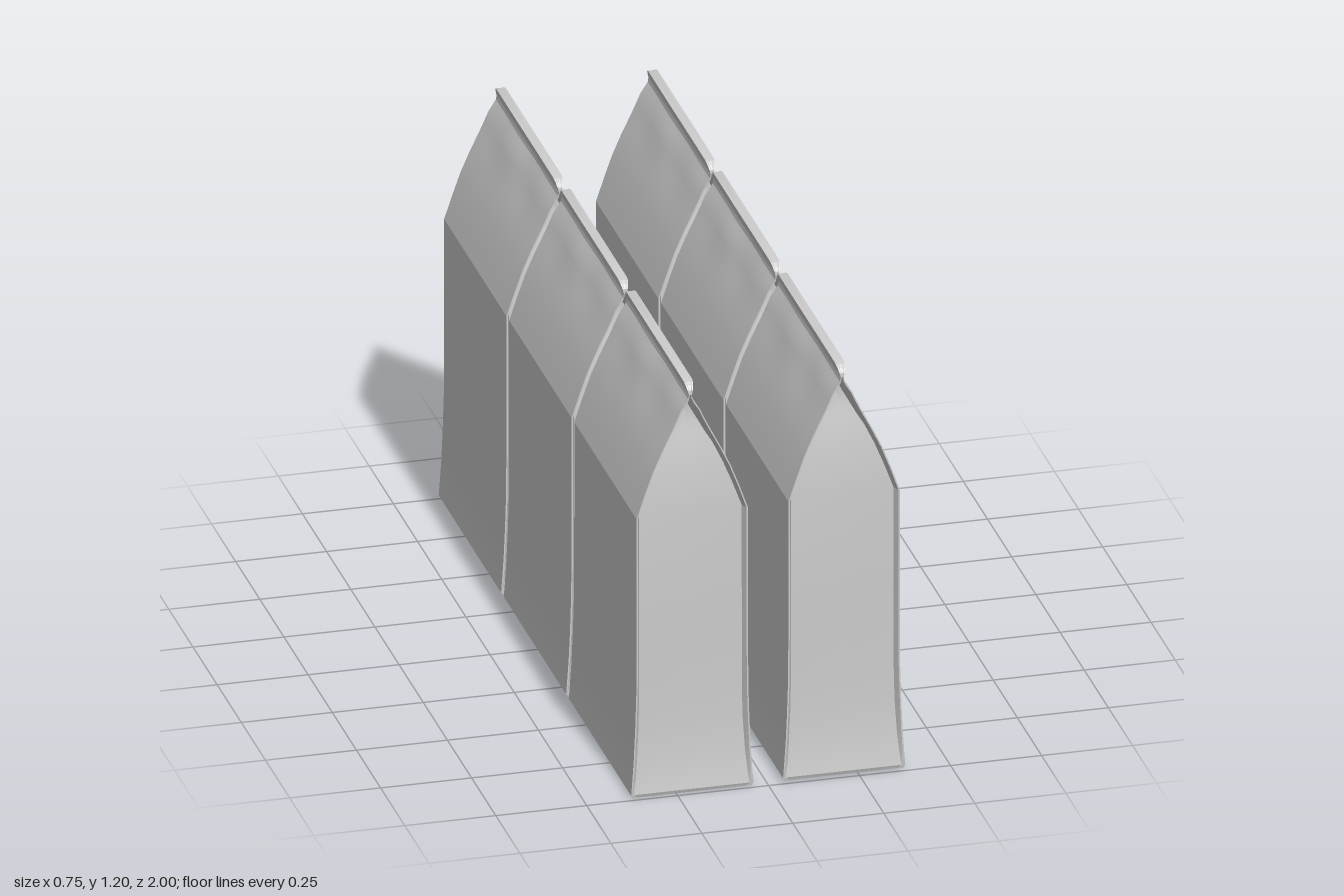
import * as THREE from 'three';
import { toCreasedNormals } from 'three/addons/utils/BufferGeometryUtils.js';

// Bag levels: height, panel half width, gusset half width, gusset recess, half length
const D = 0.3225;
const LEVELS = [
  [0.000, 0.162, 0.152, 0.003, D - 0.003],
  [0.010, 0.168, 0.158, 0.002, D],
  [0.050, 0.165, 0.153, 0.008, D],
  [0.110, 0.161, 0.148, 0.014, D],
  [0.200, 0.157, 0.143, 0.018, D],
  [0.300, 0.154, 0.141, 0.019, D],
  [0.550, 0.153, 0.141, 0.019, D],
  [0.815, 0.153, 0.141, 0.020, D],
  [0.880, 0.131, 0.118, 0.024, D],
  [0.945, 0.107, 0.093, 0.030, D],
  [1.000, 0.082, 0.068, 0.038, D],
  [1.030, 0.067, 0.050, 0.044, D],
  [1.060, 0.052, 0.034, 0.050, D],
  [1.090, 0.038, 0.018, 0.055, D],
  [1.115, 0.027, 0.005, 0.058, D],
  [1.135, 0.014, 0.003, 0.035, D],
  [1.148, 0.006, 0.002, 0.010, D],
  [1.160, 0.004, 0.001, 0.002, D],
  [1.172, 0.007, 0.003, 0.002, D - 0.002],
  [1.183, 0.010, 0.004, 0.002, D - 0.010],
  [1.190, 0.012, 0.005, 0.002, D - 0.020],
  [1.193, 0.013, 0.006, 0.002, D - 0.032],
];
const SEGMENTS = 16;

// Half a cross-section: the +x panel followed by the folded +z gusset
function halfSection([y, w, wi, r, d]) {
  const points = [];
  const crumple = 0.004 * Math.exp(-(((y - 1.1) / 0.05) ** 2));
  for (let i = 0; i <= SEGMENTS; i++) {
    const t = i / SEGMENTS;
    const dent = crumple * Math.sin(t * Math.PI) * Math.sin(t * 11 + 1);
    points.push([w + dent, d * (2 * t - 1)]);
  }
  points.push([Math.max(w - 0.004, w * 0.6), d], [wi, d - r], [0, d - r * 1.1], [-wi, d - r]);
  points.push([-Math.max(w - 0.004, w * 0.6), d]);
  return points;
}

function bagGeometry() {
  const positions = [];
  const index = [];
  let n = 0;
  for (const level of LEVELS) {
    const half = halfSection(level);
    const ring = [...half, ...half.map(([x, z]) => [-x, -z])];
    n = ring.length;
    // the closed top leans slightly to one side
    const lean = -0.005 * THREE.MathUtils.smoothstep(level[0], 0.8, 1.15);
    for (const [x, z] of ring) positions.push(x + lean, level[0], z);
  }
  for (let k = 0; k < LEVELS.length - 1; k++) {
    for (let j = 0; j < n; j++) {
      const a = k * n + j;
      const b = k * n + ((j + 1) % n);
      index.push(a, a + n, b, b, a + n, b + n);
    }
  }
  // flat base and top edge of the seal
  const base = positions.length / 3;
  const last = (LEVELS.length - 1) * n;
  positions.push(0, 0, 0, -0.005, LEVELS[LEVELS.length - 1][0], 0);
  for (let j = 0; j < n; j++) {
    const next = (j + 1) % n;
    index.push(base, j, next, base + 1, last + next, last + j);
  }
  const geometry = new THREE.BufferGeometry();
  geometry.setAttribute('position', new THREE.Float32BufferAttribute(positions, 3));
  geometry.setIndex(index);
  return toCreasedNormals(geometry, 0.31);
}

export function createModel() {
  const group = new THREE.Group();
  group.name = 'bagDisplay';
  const material = new THREE.MeshStandardMaterial({ color: 0xcccccc, side: THREE.DoubleSide });
  const geometry = bagGeometry();

  // Two rows of three bags, slightly offset from each other
  const rows = [
    { name: 'rightRow', x: -0.2075, y: 0, z: -0.0045 },
    { name: 'leftRow', x: 0.2075, y: 0.007, z: 0.0045 },
  ];
  for (const { name, x, y, z } of rows) {
    const row = new THREE.Group();
    row.name = name;
    row.position.set(x, y, z);
    for (let i = -1; i <= 1; i++) {
      const bag = new THREE.Mesh(geometry, material);
      bag.name = 'gussetedBag';
      bag.position.z = i * 0.673;
      row.add(bag);
    }
    group.add(row);
  }
  return group;
}
